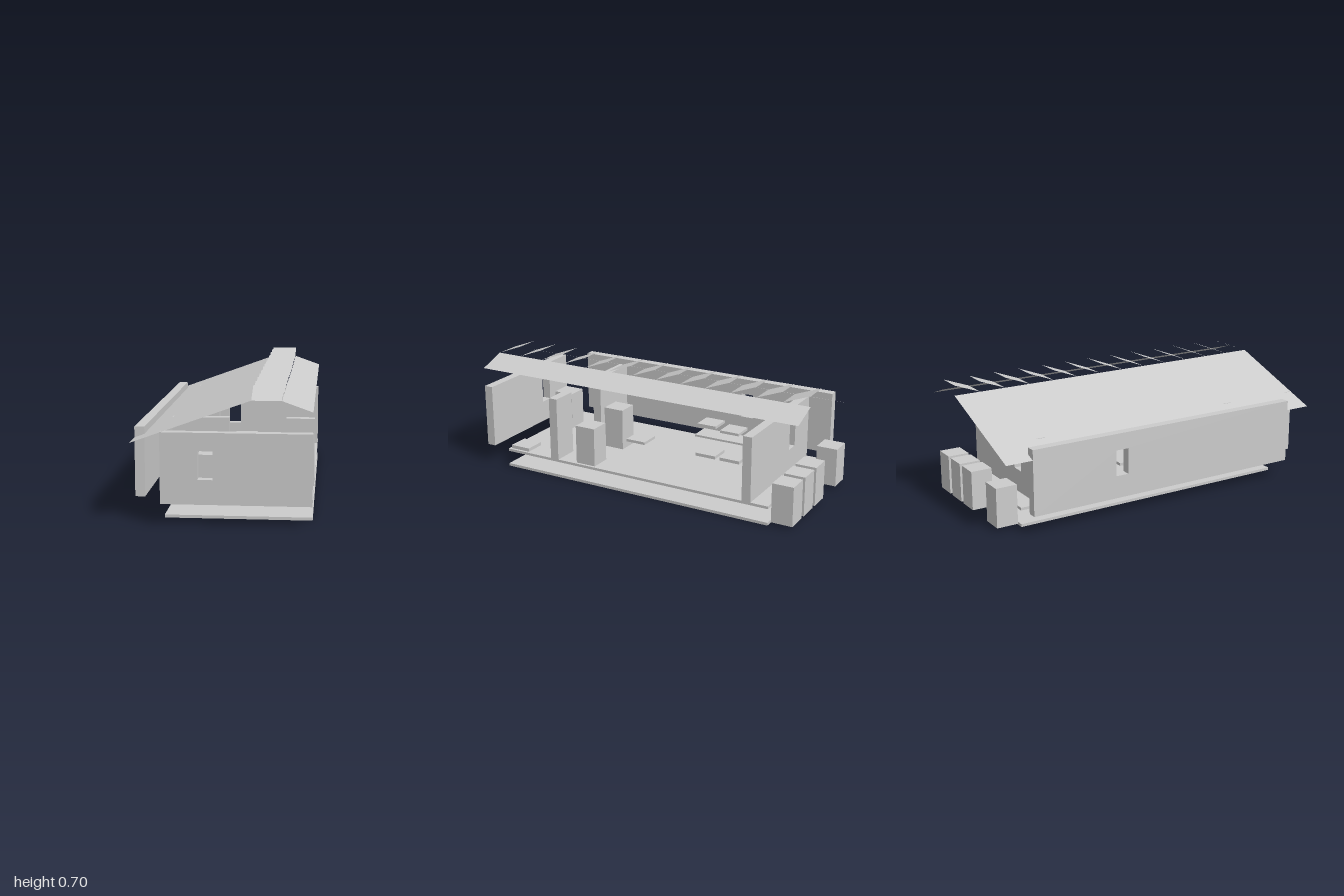
import * as THREE from 'three';

const plaster = new THREE.MeshStandardMaterial({ color: 0xcccccc });
plaster.name = 'light grey';
plaster.side = THREE.DoubleSide;

// Common floor and wall dimensions
const X0 = -0.307, X1 = 0.46, HALF = 0.847;
const FLOOR = 0.11, TOP = 0.478, WALL = 0.052;
const PITCH = 0.153, CELL = 0.123;

export function createModel() {
  const group = new THREE.Group();

  const add = (name, geometry) => {
    const mesh = new THREE.Mesh(geometry, plaster);
    mesh.name = name;
    group.add(mesh);
    return mesh;
  };

  // Box given by its limits
  const box = (name, x0, x1, y0, y1, z0, z1) =>
    add(name, new THREE.BoxGeometry(x1 - x0, y1 - y0, z1 - z0))
      .position.set((x0 + x1) / 2, (y0 + y1) / 2, (z0 + z1) / 2);

  // Square block on the planning grid: column i along x, row k along z
  const block = (name, i, k, y0, y1, zShift = 0) => {
    const x = (i + 0.5) * PITCH, z = k * PITCH + zShift, h = CELL / 2;
    box(name, x - h, x + h, y0, y1, z - h, z + h);
  };

  // Wall panel with one rectangular window
  const windowWall = (name, u0, u1, w0, w1) => {
    const shape = new THREE.Shape([
      [u0, FLOOR], [u1, FLOOR], [u1, TOP], [u0, TOP],
    ].map(p => new THREE.Vector2(...p)));
    shape.holes.push(new THREE.Path([
      [w0, 0.238], [w0, 0.385], [w1, 0.385], [w1, 0.238],
    ].map(p => new THREE.Vector2(...p))));
    return add(name, new THREE.ExtrudeGeometry(shape, { depth: WALL, bevelEnabled: false }));
  };

  // Flat sheet between two edges, each edge given by its two end points
  const sheet = (name, a, b, c, d) => {
    const g = new THREE.BufferGeometry();
    g.setAttribute('position', new THREE.Float32BufferAttribute([...a, ...b, ...c, ...d], 3));
    g.setIndex([0, 1, 2, 0, 2, 3]);
    g.computeVertexNormals();
    add(name, g);
  };

  // Ground slab and raised floor
  box('groundSlab', X0, X1, 0, 0.016, -HALF, HALF);
  box('raisedFloor', X0, X1, 0.095, FLOOR, -HALF, HALF);

  // End walls and long side wall, each with a window
  windowWall('frontWall', X0, X1, -0.117, -0.04).position.z = 1 - WALL;
  windowWall('backWall', X0, X1, -0.117, -0.04).position.z = -0.745;
  const side = windowWall('sideWall', -HALF, HALF, 0.267, 0.343);
  side.rotation.y = Math.PI / 2;
  side.position.x = -0.46;

  // Inner partition with a doorway
  box('partitionLeft', X0, 0, FLOOR, TOP, 0.487, 0.539);
  box('partitionRight', 0.307, X1, FLOOR, TOP, 0.487, 0.539);

  // Two roof slopes with an open strip between them
  sheet('largeRoofSlope', [-0.46, 0.421, 1], [0.153, 0.643, 1], [0.153, 0.643, -1], [-0.46, 0.421, -1]);
  sheet('smallRoofSlope', [0.305, 0.643, 1], [0.46, 0.588, 1], [0.46, 0.588, -1], [0.305, 0.643, -1]);

  // Row of tilted louvres over the open strip
  const step = 2 / 13;
  for (let i = 0; i < 13; i++) {
    const z = 1 - i * step, zTop = z - step * 0.985;
    sheet('louvre', [0.153, 0.643, z], [0.305, 0.643, z], [0.305, 0.7, zTop], [0.153, 0.7, zTop]);
  }

  // Outdoor storage blocks behind the back wall
  for (const i of [-2, 0, 1, 2]) block('storageBlock', i, -6, 0.016, 0.24, -0.003);

  // Indoor cabinets
  block('entryCabinet', -1, 5, FLOOR, 0.333, 0.007);
  block('entryStep', 2, 5, FLOOR, 0.13, 0.007);
  block('kitchenCabinet', 2, 2, FLOOR, 0.336, 0.002);
  block('tallCabinet', 0, 2, FLOOR, 0.353, 0.002);
  block('cornerCabinet', -2, -4, FLOOR, 0.333);

  // Floating seats, bench and stepped shelves
  block('seat', 0, 1, 0.166, 0.182, 0.005);
  block('seat', 0, -2, 0.167, 0.185);
  block('seat', 0, -3, 0.167, 0.185);
  box('bench', -0.292, -0.168, 0.152, 0.164, -0.535, -0.075);
  block('shelf', -2, -1, 0.222, 0.238);
  block('shelf', -2, -2, 0.205, 0.221);
  block('shelf', -2, -3, 0.187, 0.202);

  return group;
}
